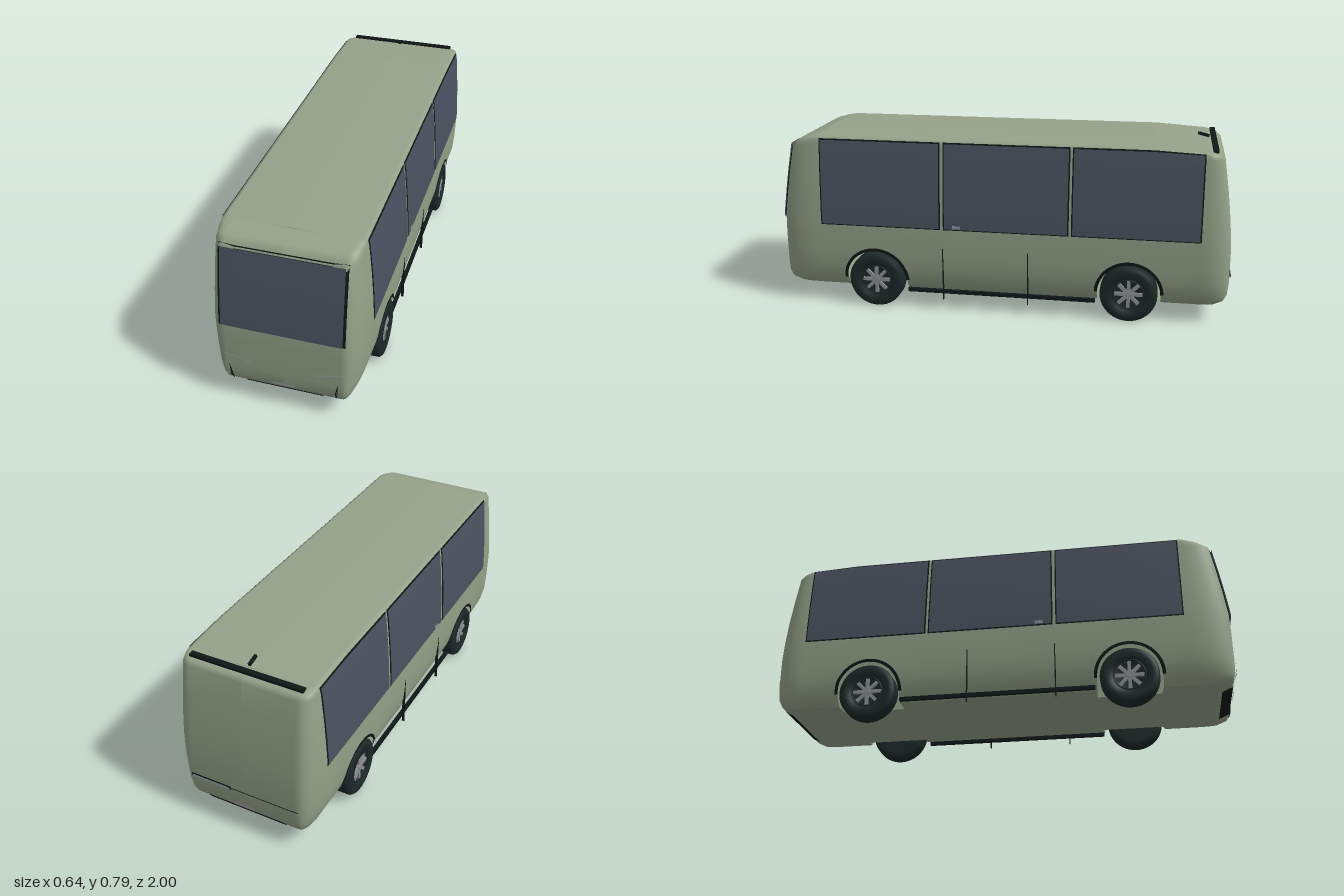
import * as THREE from 'three';

const mat = (name, color, side = THREE.FrontSide) =>
  Object.assign(new THREE.MeshStandardMaterial({ color, side }), { name });
const paint = mat('sage paint', 0x95a289, THREE.DoubleSide);
const glass = mat('tinted glass', 0x4b5260, THREE.DoubleSide);
const black = mat('black trim', 0x0f1817, THREE.DoubleSide);
const rubber = mat('tyre rubber', 0x1c2828);
const metal = mat('wheel metal', 0x8c8f92);
const lamp = mat('lamp grey', 0xa4a6a8, THREE.DoubleSide);

// Body sections: height, front z, rear z, half width
const SECTIONS = [
  [0.08, 0.94, -0.93, 0.252], [0.10, 0.985, -0.97, 0.272], [0.13, 0.998, -0.985, 0.286],
  [0.18, 1.0, -0.99, 0.30], [0.25, 1.0, -0.99, 0.306], [0.32, 1.0, -0.99, 0.309],
  [0.40, 0.998, -0.985, 0.311], [0.50, 0.984, -0.975, 0.307], [0.60, 0.968, -0.962, 0.301],
  [0.73, 0.944, -0.942, 0.29], [0.755, 0.905, -0.925, 0.287], [0.768, 0.86, -0.90, 0.283],
  [0.774, 0.83, -0.88, 0.268],
];
const BASE = 0.08, BELT = 0.4, FLAT = 0.235, POWER = 2.4;
const WHEEL_Z = 0.565, WHEEL_Y = 0.125, ARCH = 0.138;

// Interpolate one column of the sections at height y
function at(y, k) {
  const last = SECTIONS.length - 1;
  if (y <= BASE) return SECTIONS[0][k];
  for (let i = 0; i < last; i++) {
    const a = SECTIONS[i], b = SECTIONS[i + 1];
    if (y <= b[0]) return a[k] + (b[k] - a[k]) * (y - a[0]) / (b[0] - a[0]);
  }
  return SECTIONS[last][k];
}
const halfWidth = y => at(y, 3);
const endZ = (y, end) => at(y, end > 0 ? 1 : 2);
const cornerZ = end => (end > 0 ? 0.8 : -0.86);
// The roof dips gently toward the rear
const dip = (y, z) => y <= 0.73 ? y
  : 0.73 + (y - 0.73) * (1 - 0.4 * THREE.MathUtils.clamp((-0.65 - z) / 0.27, 0, 1));

// Surface z of the front (end = 1) or rear (end = -1) at x, y
function faceZ(x, y, end) {
  const u = THREE.MathUtils.clamp((Math.abs(x) - FLAT) / (halfWidth(y) - FLAT), 0, 1);
  const zc = cornerZ(end);
  return zc + (endZ(y, end) - zc) * Math.pow(1 - Math.pow(u, POWER), 1 / POWER);
}

function surface(points, index) {
  const g = new THREE.BufferGeometry();
  g.setAttribute('position', new THREE.Float32BufferAttribute(points, 3));
  g.setIndex(index);
  g.computeVertexNormals();
  return g;
}

// Columns run round the body; arch columns start at the wheel opening
function bodyColumns() {
  const half = [];
  const side = (z, yb = BASE) => half.push({ yb, at: y => [halfWidth(y), z] });
  const flat = (x, end) => half.push({ yb: BASE, at: y => [x, endZ(y, end)] });
  const corner = end => {
    for (let i = 0; i <= 10; i++) {
      const a = (end > 0 ? i : 10 - i) / 10 * Math.PI / 2;
      const c = Math.pow(Math.max(Math.cos(a), 0), 2 / POWER), s = Math.pow(Math.sin(a), 2 / POWER);
      half.push({ yb: BASE, at: y => [FLAT + (halfWidth(y) - FLAT) * c,
        cornerZ(end) + (endZ(y, end) - cornerZ(end)) * s] });
    }
  };
  flat(0, -1); flat(0.12, -1); corner(-1);
  for (const c of [-WHEEL_Z, WHEEL_Z]) {
    side(c - ARCH);
    for (let i = 0; i <= 20; i++) {
      const a = Math.PI * (1 - i / 20);
      side(c + ARCH * Math.cos(a), WHEEL_Y + ARCH * Math.sin(a));
    }
    side(c + ARCH);
    if (c < 0) [-0.3, -0.1, 0.1, 0.3].forEach(z => side(z));
  }
  corner(1); flat(0.12, 1); flat(0, 1);
  const mirrored = half.map(c => ({ yb: c.yb, at: y => { const [x, z] = c.at(y); return [-x, z]; } }));
  return half.concat(mirrored.reverse());
}

function buildBody(add) {
  const cols = bodyColumns(), n = cols.length, rows = SECTIONS.length + 1;
  const shell = [], shellIndex = [], floor = [], floorIndex = [];
  const quad = (list, i, j, w) => {
    const a = i * w + j, b = (i + 1) * w + j;
    list.push(a, a + 1, b, b, a + 1, b + 1);
  };
  cols.forEach((c, i) => {
    for (const [y0] of SECTIONS) {
      const y = y0 < BELT ? c.yb + (y0 - BASE) / (BELT - BASE) * (BELT - c.yb) : y0;
      const [x, z] = c.at(y);
      shell.push(x, dip(y, z), z);
    }
    const top = c.at(0.774)[1];
    shell.push(0, dip(0.777, top), top);
    const [x, z] = c.at(BASE), zi = z * 0.985;
    floor.push(x, BASE, z, THREE.MathUtils.clamp(x, -0.2, 0.2), 0.073, zi, 0, 0.071, zi);
    if (i === n - 1) return;
    for (let j = 0; j < rows - 1; j++) quad(shellIndex, i, j, rows);
    if (c.yb === BASE && cols[i + 1].yb === BASE) quad(floorIndex, i, 0, 3);
    quad(floorIndex, i, 1, 3);
  });
  add('bodyShell', surface(shell, shellIndex), paint);
  add('floorPan', surface(floor, floorIndex), paint);
}

// Wrap a flat geometry onto the body surface
function wrap(geo, rule) {
  const p = geo.attributes.position;
  for (let i = 0; i < p.count; i++) p.setXYZ(i, ...rule(p.getX(i), p.getY(i)));
  geo.computeVertexNormals();
  return geo;
}
const onSide = (s, off) => (z, y) => [s * (halfWidth(y) + off), dip(y, z), z];
const onFace = (end, off) => (x, y) => [x, y, faceZ(x, y, end) + end * off];
const patch = (a0, a1, b0, b1) =>
  new THREE.PlaneGeometry(a1 - a0, b1 - b0, 8, 12).translate((a0 + a1) / 2, (b0 + b1) / 2, 0);
const polygon = pts => new THREE.ShapeGeometry(new THREE.Shape(pts.map(p => new THREE.Vector2(...p))));

function buildWheel(s, z) {
  const wheel = new THREE.Group();
  wheel.name = 'wheel';
  const part = (name, g, m) => {
    const mesh = new THREE.Mesh(g, m);
    mesh.name = name;
    wheel.add(mesh);
    return mesh;
  };
  const profile = [[0, -0.036], [0.1, -0.038], [0.117, -0.035], [0.125, -0.025], [0.125, 0.025],
    [0.117, 0.035], [0.1, 0.038], [0.072, 0.036], [0.068, 0.02], [0, 0.02]];
  part('tyre', new THREE.LatheGeometry(profile.map(p => new THREE.Vector2(...p)), 36), rubber);
  part('rim', new THREE.TorusGeometry(0.067, 0.003, 6, 32).rotateX(Math.PI / 2).translate(0, 0.034, 0), rubber);
  part('hub', new THREE.CylinderGeometry(0.014, 0.016, 0.014, 16).translate(0, 0.027, 0), metal);
  for (let i = 0; i < 8; i++)
    part('spoke', new THREE.BoxGeometry(0.05, 0.01, 0.015).translate(0.036, 0.025, 0).rotateY(i * Math.PI / 4), metal);
  wheel.rotation.z = -s * Math.PI / 2;
  wheel.position.set(s * 0.272, WHEEL_Y, z);
  return wheel;
}

export function createModel() {
  const group = new THREE.Group();
  group.name = 'minibus';
  const add = (name, geo, material) => {
    const mesh = new THREE.Mesh(geo, material);
    mesh.name = name;
    group.add(mesh);
    return mesh;
  };
  const box = (name, size, pos, m) => add(name, new THREE.BoxGeometry(...size).translate(...pos), m);
  buildBody(add);

  // Windscreen
  add('windscreenFrame', wrap(patch(-0.256, 0.256, 0.387, 0.736), onFace(1, 0.005)), black);
  add('windscreen', wrap(patch(-0.246, 0.246, 0.391, 0.729), onFace(1, 0.009)), glass);

  for (const s of [-1, 1]) {
    // Side windows
    for (const [z0, z1] of [[-0.862, -0.312], [-0.302, 0.25], [0.262, 0.807]]) {
      add('windowFrame', wrap(patch(z0, z1, 0.378, 0.764), onSide(s, 0.003)), black);
      add('sideWindow', wrap(patch(z0 + 0.006, z1 - 0.006, 0.383, 0.758), onSide(s, 0.006)), glass);
    }
    // Wheels and arch trims
    for (const z of [-WHEEL_Z, WHEEL_Z]) {
      group.add(buildWheel(s, z));
      const ring = new THREE.RingGeometry(ARCH - 0.002, 0.15, 32, 1, 0, Math.PI).translate(z, WHEEL_Y, 0);
      add('archTrim', wrap(ring, onSide(s, 0.004)), black);
    }
    // Sill, door seams and handle
    box('sillStrip', [0.016, 0.016, 0.84], [s * 0.288, 0.083, 0], black);
    for (const z of [0.255, -0.125]) box('doorSeam', [0.012, 0.24, 0.004], [s * 0.302, 0.17, z], black);
    box('doorHandle', [0.012, 0.014, 0.035], [s * 0.313, 0.393, 0.19], metal);
    // Headlamp slits and corner intakes
    add('headlamp', wrap(polygon([[s * 0.13, 0.215], [s * 0.245, 0.241], [s * 0.245, 0.246], [s * 0.13, 0.221]]), onFace(1, 0.005)), lamp);
    add('lowerLamp', wrap(polygon([[s * 0.127, 0.207], [s * 0.16, 0.213], [s * 0.16, 0.216], [s * 0.127, 0.211]]), onFace(1, 0.004)), lamp);
    add('cornerIntake', wrap(polygon([[s * 0.213, 0.1], [s * 0.222, 0.13], [s * 0.225, 0.197], [s * 0.213, 0.14]]), onFace(1, 0.006)), black);
  }

  // Front and rear lower trim and plates
  add('frontGrille', wrap(patch(-0.16, 0.16, 0.074, 0.109), onFace(1, 0.004)), black);
  add('frontPlate', wrap(patch(-0.047, 0.047, 0.116, 0.137), onFace(1, 0.006)), lamp);
  add('rearGrille', wrap(patch(-0.18, 0.18, 0.084, 0.118), onFace(-1, 0.004)), black);
  add('rearPlate', wrap(patch(-0.047, 0.047, 0.126, 0.146), onFace(-1, 0.006)), lamp);
  add('rearSeam', wrap(patch(-0.25, 0.25, 0.21, 0.214), onFace(-1, 0.003)), black);
  add('tailLampFrame', wrap(patch(0.06, 0.245, 0.199, 0.221), onFace(-1, 0.004)), black);
  add('tailLamp', wrap(patch(0.064, 0.241, 0.203, 0.217), onFace(-1, 0.007)), lamp);

  // Roof strip and aerial
  box('roofStrip', [0.5, 0.012, 0.024], [0, 0.758, -0.903], black);
  const aerial = box('roofAerial', [0.011, 0.012, 0.05], [0, 0, 0], black);
  aerial.position.set(0, 0.78, -0.857);
  aerial.rotation.x = -0.25;
  return group;
}
